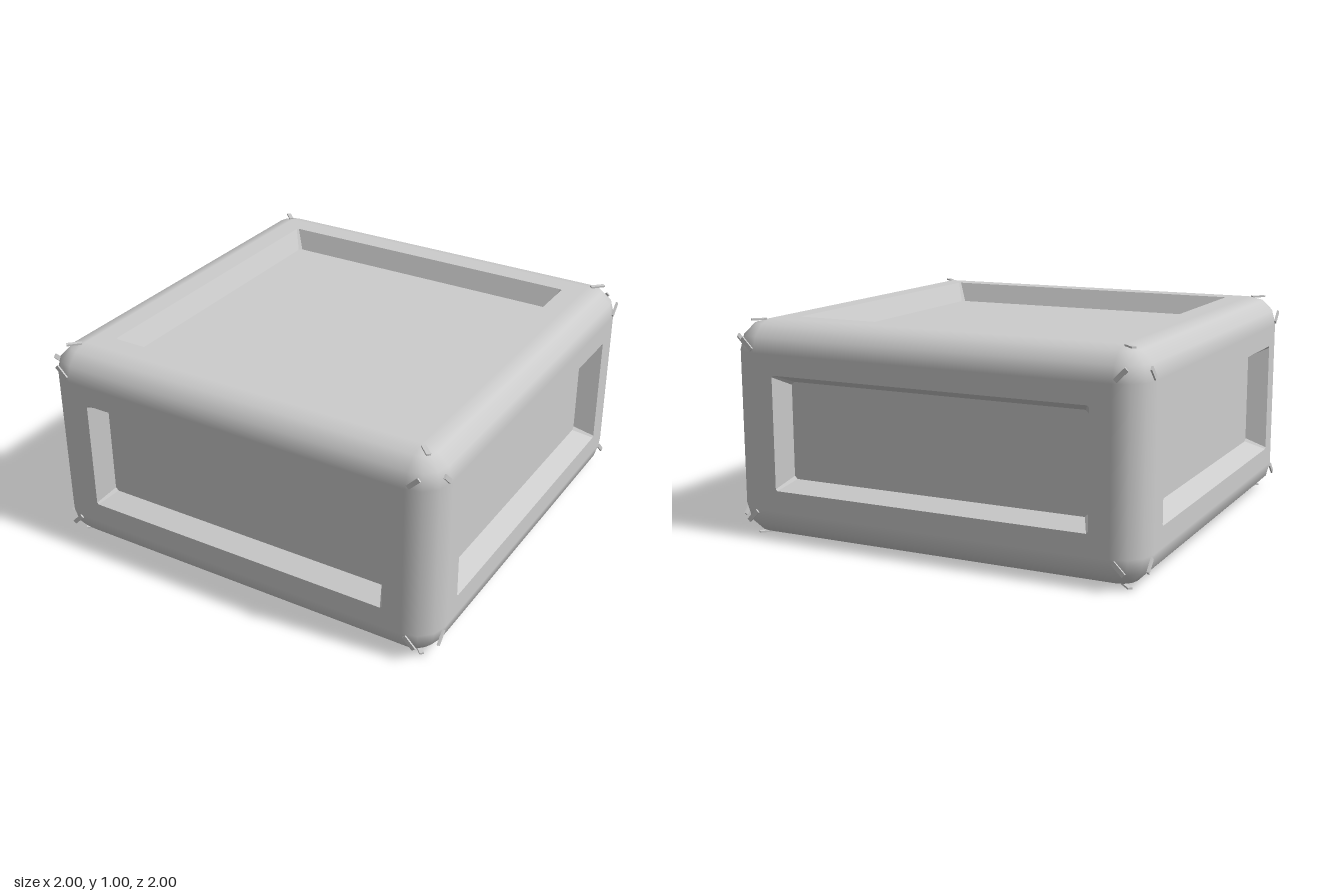
import * as THREE from 'three';

const W = 1, H = 0.5;        // half width / depth and half height of the block
const R = 0.14;              // edge rounding
const MARGIN = 0.235;        // frame width around each recess
const SLOPE = 0.04, DEPTH = 0.095;

// Rectangle with slightly clipped corners, anticlockwise
function outline(w, h, c) {
  return [[c - w, -h], [w - c, -h], [w, c - h], [w, h - c],
    [w - c, h], [c - w, h], [-w, h - c], [-w, c - h]].map(([x, y]) => new THREE.Vector2(x, y));
}

// Sloping walls between the opening and the recess floor
function wallGeometry(a, b) {
  const pos = [];
  a.forEach((p, i) => {
    const j = (i + 1) % a.length;
    const p0 = [p.x, p.y, 0], p1 = [a[j].x, a[j].y, 0];
    const q0 = [b[i].x, b[i].y, -DEPTH], q1 = [b[j].x, b[j].y, -DEPTH];
    pos.push(...p0, ...p1, ...q1, ...p0, ...q1, ...q0);
  });
  const g = new THREE.BufferGeometry();
  g.setAttribute('position', new THREE.Float32BufferAttribute(pos, 3));
  g.computeVertexNormals();
  return g;
}

export function createModel() {
  const grey = new THREE.MeshStandardMaterial({ color: 0xcccccc });
  grey.name = 'light grey';
  const model = new THREE.Group();
  model.name = 'panelledBlock';
  const body = new THREE.Group();
  body.name = 'body';
  body.position.y = H;
  model.add(body);

  const add = (parent, name, geometry, x = 0, y = 0, z = 0) => {
    const mesh = new THREE.Mesh(geometry, grey);
    mesh.name = name;
    mesh.position.set(x, y, z);
    parent.add(mesh);
    return mesh;
  };

  // One face: flat frame, sloping recess walls and sunken floor
  function addFace(name, w, h, dist, rx, ry) {
    const face = new THREE.Group();
    face.name = name;
    face.rotation.set(rx, ry, 0);
    const opening = outline(w - MARGIN, h - MARGIN, 0.008);
    const inner = outline(w - MARGIN - SLOPE, h - MARGIN - SLOPE, 0.014);
    const frame = new THREE.Shape(outline(w - R, h - R, 0));
    frame.holes.push(new THREE.Path(opening));
    add(face, 'frame', new THREE.ShapeGeometry(frame), 0, 0, dist);
    add(face, 'recessWalls', wallGeometry(opening, inner), 0, 0, dist);
    add(face, 'recessFloor', new THREE.ShapeGeometry(new THREE.Shape(inner)), 0, 0, dist - DEPTH);
    body.add(face);
  }
  ['front', 'left', 'back', 'right'].forEach((side, k) =>
    addFace(side + 'Face', W, H, W, 0, k * Math.PI / 2));
  addFace('topFace', W, W, H, -Math.PI / 2, 0);
  addFace('bottomFace', W, W, H, Math.PI / 2, 0);

  // Rounded edges and corners, repeated around the block and flipped below
  const quarter = Math.PI / 2, c = W - R, cy = H - R;
  const cornerGeo = new THREE.SphereGeometry(R, 3, 3, quarter, quarter, 0, quarter);
  const longEdge = new THREE.CylinderGeometry(R, R, 2 * c, 3, 1, true, 0, quarter).rotateZ(quarter);
  const uprightEdge = new THREE.CylinderGeometry(R, R, 2 * cy, 3, 1, true, 0, quarter);

  // Small diagonal plates lying level with each face at the corners
  const L = 0.07, T = 0.008, B = 0.02;
  const plateTop = new THREE.BoxGeometry(L, T, B).rotateY(-Math.PI / 4);
  const plateFront = new THREE.BoxGeometry(L, B, T).rotateZ(Math.PI / 4);
  const plateSide = new THREE.BoxGeometry(T, B, L).rotateX(-Math.PI / 4);
  const m = 0.103, sink = 0.003;

  for (let k = 0; k < 4; k++) {
    for (const flip of [0, 1]) {
      const g = new THREE.Group();
      g.name = (flip ? 'lower' : 'upper') + 'Rim' + (k + 1);
      g.rotation.set(0, k * quarter, flip * Math.PI);
      add(g, 'corner', cornerGeo, c, cy, c);
      add(g, 'longEdge', longEdge, 0, cy, c);
      if (!flip) add(g, 'uprightEdge', uprightEdge, c, 0, c);
      add(g, 'cornerPlate', plateTop, W - m, H - sink, W - m);
      add(g, 'cornerPlate', plateFront, W - m, H - m, W - sink);
      add(g, 'cornerPlate', plateSide, W - sink, H - m, W - m);
      body.add(g);
    }
  }
  return model;
}
